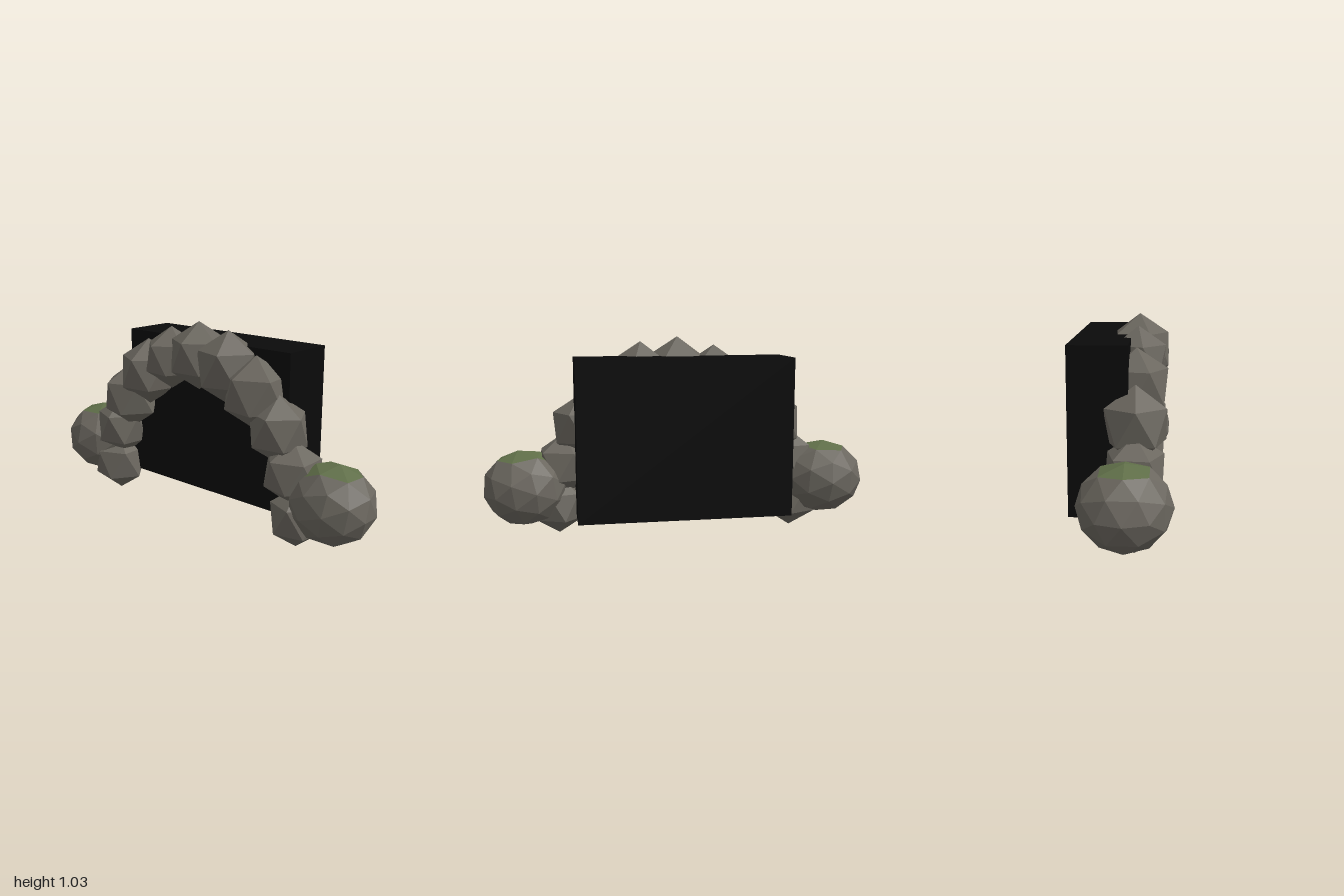
import * as THREE from 'three';

export function createModel() {
  const model = new THREE.Group();
  const mat = (name, color) => {
    const m = new THREE.MeshStandardMaterial({ color, flatShading: true });
    m.name = name;
    return m;
  };
  const stone = mat('stone', 0x6b675f);
  const moss = mat('moss', 0x5f6e48);
  const dark = mat('darkness', 0x0a0a0a);

  // Dark block behind the arch opening
  const block = new THREE.Mesh(new THREE.BoxGeometry(1.07, 0.795, 0.275), dark);
  block.name = 'caveInterior';
  block.position.set(0, 0.5375, -0.1075);
  model.add(block);

  // Arch of eleven pointed stones on a half ellipse, from right foot to left foot
  const arch = new THREE.Group();
  arch.name = 'arch';
  const radii = [0.165, 0.165, 0.18, 0.177, 0.162, 0.172, 0.182, 0.18, 0.165, 0.16, 0.15];
  const turns = [1.35, 1.8, 1.3, 1.7, 1.45, 1.65, 1.9, 1.4, 1.75, 1.3, 1.8];
  radii.forEach((r, i) => {
    const a = Math.PI * (1 - i / 10);
    const geo = new THREE.IcosahedronGeometry(r, 0);
    geo.rotateZ(Math.atan(2 / (1 + Math.sqrt(5)))); // one corner straight up
    geo.rotateY(turns[i]);
    geo.scale(0.95, 1, 0.92);
    geo.computeVertexNormals();
    const mesh = new THREE.Mesh(geo, stone);
    mesh.name = 'archStone';
    mesh.position.set(0.62 * Math.cos(a), 0.172 + 0.688 * Math.sin(a), 0.063);
    arch.add(mesh);
  });
  model.add(arch);

  // Boulders at the feet, with moss on the faces that look upward
  function boulder(name, position, size, turn) {
    const geo = new THREE.IcosahedronGeometry(1, 1);
    geo.rotateZ(turn[1]);
    geo.rotateY(turn[0]);
    geo.scale(...size);
    geo.computeVertexNormals();
    const n = geo.attributes.normal;
    for (let i = 0; i < n.count; i += 3) {
      geo.addGroup(i, 3, n.getY(i) > 0.83 ? 1 : 0);
    }
    const mesh = new THREE.Mesh(geo, [stone, moss]);
    mesh.name = name;
    mesh.position.set(...position);
    model.add(mesh);
  }
  boulder('rightBoulder', [-0.775, 0.28, 0.03], [0.225, 0.195, 0.213], [0, 0.06]);
  boulder('leftBoulder', [0.79, 0.275, 0.028], [0.212, 0.195, 0.193], [0.3, -0.15]);

  return model;
}
